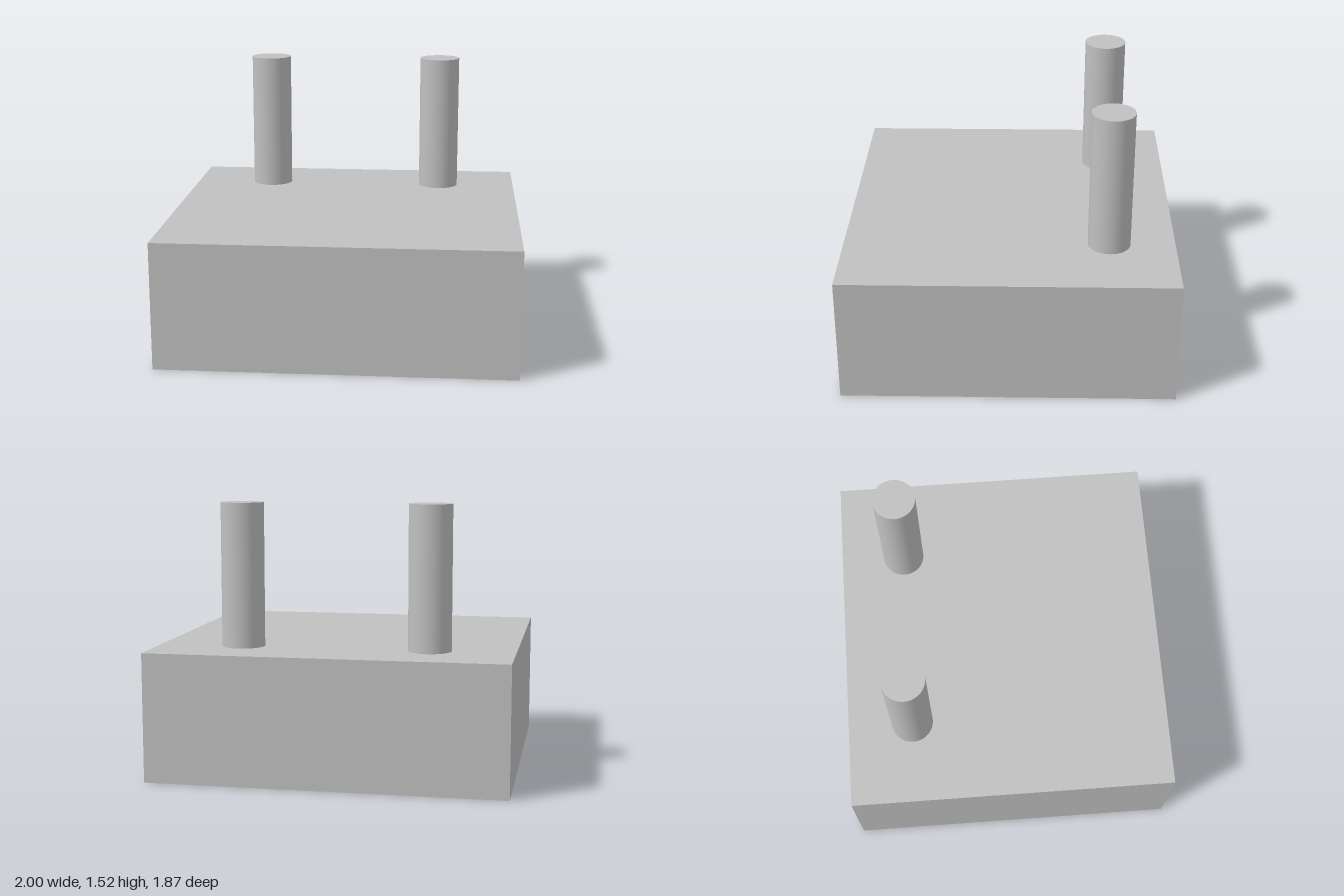
import * as THREE from 'three';

const W = 2, H = 0.72, D = 1.866;
const SOCKET = { x: 0.39, z: 0.5, w: 0.66, d: 0.43, depth: 0.6 };

// Box whose underside is left open; inward = true turns it into a cavity
function openBox(w, h, d, inward = false) {
  const g = new THREE.BoxGeometry(w, h, d);
  const index = Array.from(g.index.array);
  index.splice(18, 6);
  if (inward) index.reverse();
  g.setIndex(index);
  g.clearGroups();
  g.computeVertexNormals();
  return g;
}

function rectangle(target, cx, cy, w, h) {
  target.moveTo(cx - w / 2, cy - h / 2);
  target.lineTo(cx + w / 2, cy - h / 2);
  target.lineTo(cx + w / 2, cy + h / 2);
  target.lineTo(cx - w / 2, cy + h / 2);
  target.closePath();
  return target;
}

export function createModel() {
  const model = new THREE.Group();
  model.name = 'twoPinBlock';
  const grey = new THREE.MeshStandardMaterial({ color: 0xc0c0c0 });
  grey.name = 'lightGrey';

  const add = (name, geometry, x, y, z) => {
    const mesh = new THREE.Mesh(geometry, grey);
    mesh.name = name;
    mesh.position.set(x, y, z);
    model.add(mesh);
  };

  // Block sides and top
  add('body', openBox(W, H, D), 0, H / 2, 0);

  // Underside with two rectangular openings (shape y becomes z, facing down)
  const underside = rectangle(new THREE.Shape(), 0, 0, W, D);
  for (const s of [-1, 1]) {
    underside.holes.push(rectangle(new THREE.Path(), s * SOCKET.x, SOCKET.z, SOCKET.w, SOCKET.d));
  }
  add('underside', new THREE.ShapeGeometry(underside).rotateX(Math.PI / 2), 0, 0, 0);

  // Socket cavities and round pins, mirrored left and right
  for (const [side, s] of [['left', 1], ['right', -1]]) {
    add(side + 'Socket', openBox(SOCKET.w, SOCKET.depth, SOCKET.d, true),
      s * SOCKET.x, SOCKET.depth / 2, SOCKET.z);
    add(side + 'Pin', new THREE.CylinderGeometry(0.12, 0.12, 0.805, 64), s * 0.527, H + 0.4025, -0.56);
  }
  return model;
}
